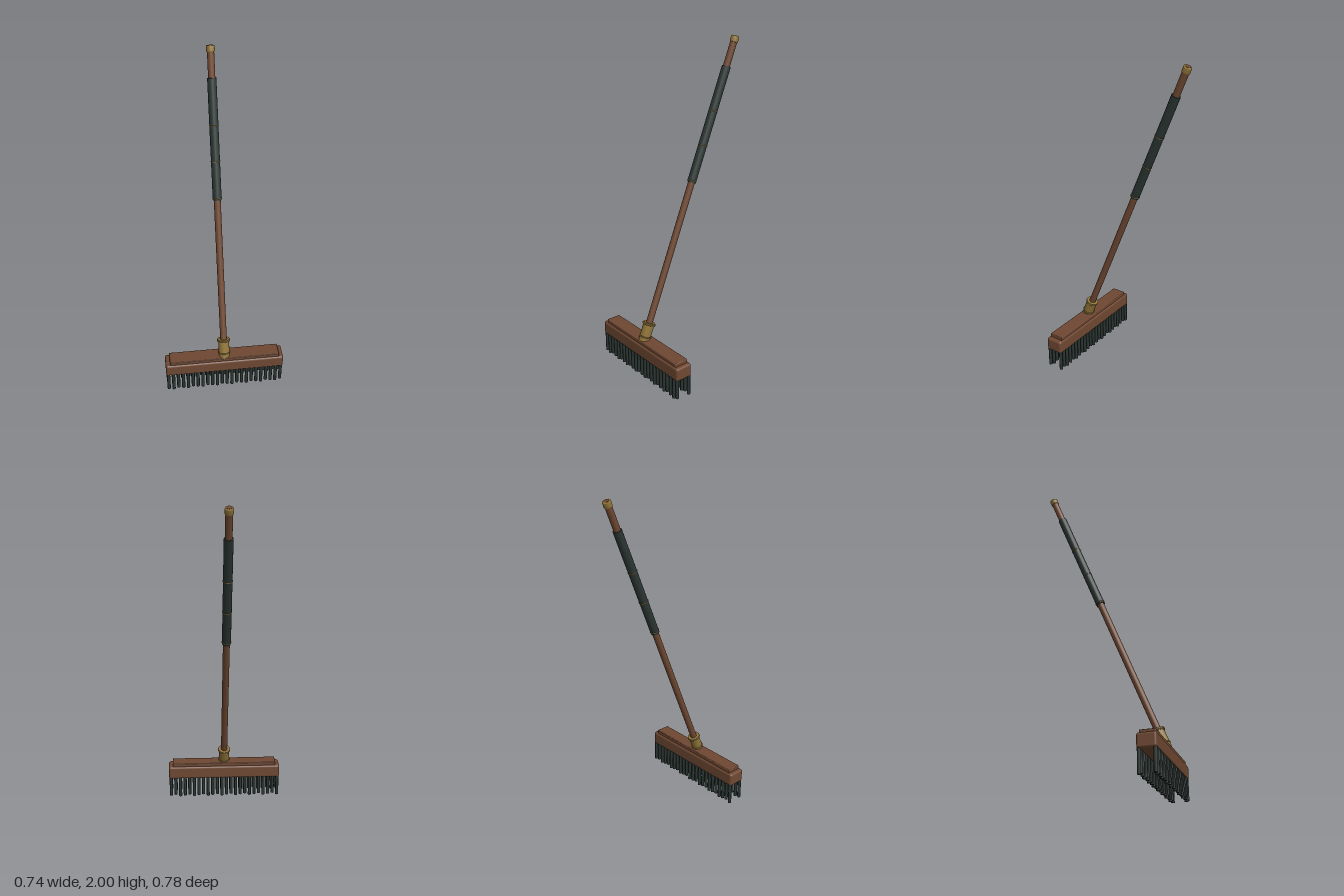
import * as THREE from 'three';
import { RoundedBoxGeometry } from 'three/addons/geometries/RoundedBoxGeometry.js';

const material = (name, color) => {
  const m = new THREE.MeshStandardMaterial({ color });
  m.name = name;
  return m;
};

export function createModel() {
  const wood = material('brown wood', 0x6f4832);
  const brass = material('aged brass', 0x8f7338);
  const dark = material('dark green black', 0x2b3633);

  const model = new THREE.Group();
  model.name = 'pushBroom';
  const add = (parent, name, geometry, mat, x = 0, y = 0, z = 0) => {
    const mesh = new THREE.Mesh(geometry, mat);
    mesh.name = name;
    mesh.position.set(x, y, z);
    parent.add(mesh);
    return mesh;
  };

  // Head block with a thinner plate on top
  const headZ = 0.335;
  add(model, 'headBlock', new RoundedBoxGeometry(0.74, 0.085, 0.11, 3, 0.014), wood, 0, 0.173, headZ);
  add(model, 'topPlate', new RoundedBoxGeometry(0.686, 0.04, 0.09, 2, 0.005), wood, 0, 0.217, headZ);

  // Two rows of bristle tufts with slightly uneven lengths
  const bristles = new THREE.Group();
  bristles.name = 'bristles';
  model.add(bristles);
  const count = 24;
  for (let row = 0; row < 2; row++) {
    for (let i = 0; i < count; i++) {
      const bottom = 0.006 * ((i * 2 + row) % 3);
      const height = 0.14 - bottom;
      const x = -0.356 + (0.712 * i) / (count - 1);
      add(bristles, 'bristle', new THREE.CylinderGeometry(0.0105, 0.0105, height, 8), dark,
        x, bottom + height / 2, headZ + (row ? 0.043 : -0.043));
    }
  }

  // Handle assembly, built upright and then leaned back
  const handle = new THREE.Group();
  handle.name = 'handle';
  handle.position.set(0, 0.235, 0.344);
  handle.rotation.x = -0.384;
  model.add(handle);

  const rod = (name, r, from, to, mat) =>
    add(handle, name, new THREE.CylinderGeometry(r, r, to - from, 16), mat, 0, (from + to) / 2, 0);
  const ring = (name, r, tube, y) => {
    const mesh = add(handle, name, new THREE.TorusGeometry(r, tube, 8, 24), brass, 0, y, 0);
    mesh.rotation.x = Math.PI / 2;
  };

  rod('shaft', 0.0205, 0, 1.88, wood);

  // Flared socket joining the shaft to the head
  rod('socket', 0.034, -0.01, 0.1, brass);
  rod('socketLip', 0.038, 0.092, 0.108, brass);
  ring('socketLipRing', 0.036, 0.005, 0.1);
  ring('socketBaseRing', 0.034, 0.004, 0.018);

  // Grip sleeve with brass bands
  rod('grip', 0.0265, 1.0, 1.712, dark);
  for (const y of [1.012, 1.232, 1.442]) ring('gripBand', 0.0265, 0.0025, y);

  // End cap with a wooden inset
  const capProfile = [[0.0205, 1.856], [0.0235, 1.857], [0.0245, 1.862], [0.0245, 1.886], [0.0225, 1.893], [0, 1.893]];
  add(handle, 'endCap', new THREE.LatheGeometry(capProfile.map(([x, y]) => new THREE.Vector2(x, y)), 20), brass);
  rod('endInset', 0.016, 1.888, 1.8945, wood);

  return model;
}
